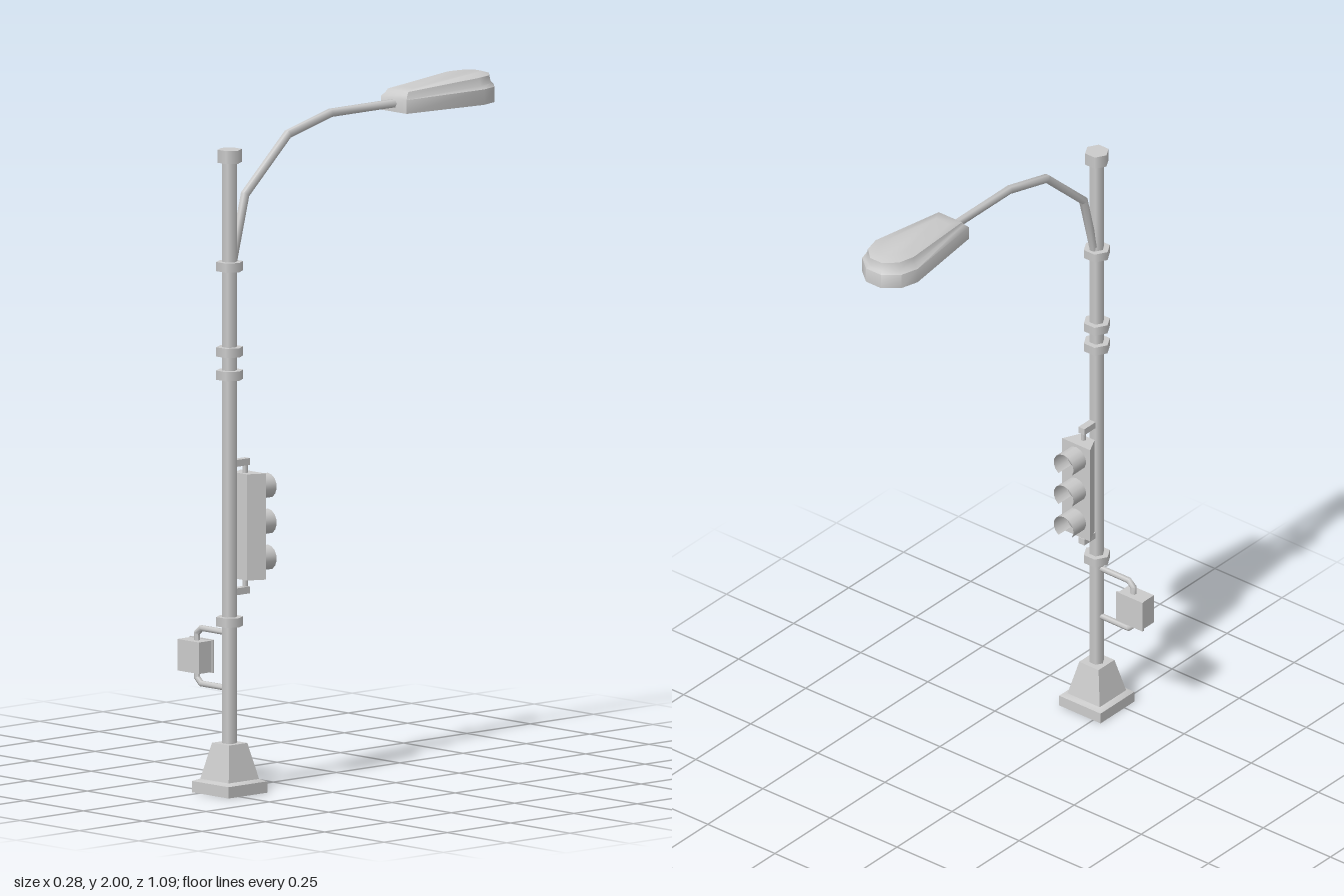
import * as THREE from 'three';
import { toCreasedNormals } from 'three/addons/utils/BufferGeometryUtils.js';

const PX = 0.049, PZ = 0.468; // pole axis
const V = (x, y, z) => new THREE.Vector3(x, y, z);

// Skin a list of equal-length rings (counter-clockwise around the direction of travel)
function loft(rings, crease = 1.1, capStart = true, capEnd = true) {
  const n = rings[0].length, pos = [], idx = [];
  rings.forEach(r => r.forEach(p => pos.push(p.x, p.y, p.z)));
  for (let k = 0; k < rings.length - 1; k++) {
    for (let i = 0; i < n; i++) {
      const a = k * n + i, b = k * n + (i + 1) % n;
      idx.push(a, b, b + n, a, b + n, a + n);
    }
  }
  const last = (rings.length - 1) * n;
  for (let i = 1; i < n - 1; i++) {
    if (capStart) idx.push(0, i + 1, i);
    if (capEnd) idx.push(last, last + i, last + i + 1);
  }
  const g = new THREE.BufferGeometry();
  g.setAttribute('position', new THREE.Float32BufferAttribute(pos, 3));
  g.setIndex(idx);
  return toCreasedNormals(g.toNonIndexed(), crease);
}

// Mitred tube along a planar path; u is the normal of its plane
function pipe(points, radius, u, sides = 6) {
  const dir = i => points[i + 1].clone().sub(points[i]).normalize();
  return loft(points.map((p, i) => {
    const a = dir(Math.max(i - 1, 0)), b = dir(Math.min(i, points.length - 2));
    const t = a.clone().add(b).normalize();
    const v = t.clone().cross(u).multiplyScalar(1 / t.dot(a));
    return Array.from({ length: sides }, (_, k) => {
      const w = (k / sides) * Math.PI * 2;
      return p.clone().addScaledVector(u, radius * Math.cos(w)).addScaledVector(v, radius * Math.sin(w));
    });
  }));
}

export function createModel() {
  const model = new THREE.Group();
  const grey = new THREE.MeshStandardMaterial({ color: 0xcccccc });
  const thin = new THREE.MeshStandardMaterial({ color: 0xcccccc, side: THREE.DoubleSide });
  const add = (name, geo, x = 0, y = 0, z = 0, mat = grey) => {
    const m = new THREE.Mesh(geo, mat);
    m.name = name;
    m.position.set(x, y, z);
    model.add(m);
    return m;
  };
  const hex = (r, h) => new THREE.CylinderGeometry(r, r, h, 6, 1, false, Math.PI / 6);

  // Square base, open underneath
  const square = (h, y) => [V(h, y, h), V(h, y, -h), V(-h, y, -h), V(-h, y, h)];
  add('base', loft([square(0.077, 0), square(0.077, 0.033), square(0.06, 0.04), square(0.036, 0.145)],
    0.6, false), PX, 0, PZ, thin);

  // Hexagonal pole with collars and cap
  add('pole', hex(0.022, 1.72), PX, 1.0, PZ);
  for (const y of [0.5, 1.22, 1.288, 1.537]) add('collar', hex(0.04, 0.027), PX, y, PZ);
  add('poleCap', hex(0.036, 0.038), PX, 1.859, PZ);

  // Curved arm reaching to the lamp
  add('lampArm', pipe([V(PX, 1.545, 0.457), V(PX, 1.74, 0.407), V(PX, 1.897, 0.238), V(PX, 1.94, 0.07),
    V(PX, 1.94, -0.2)], 0.013, V(1, 0, 0)));

  // Lamp head: recessed underside, rim band, then an inset dome
  const half = [[0.054, -0.18], [0.089, -0.455], [0.073, -0.51], [0.028, -0.547]];
  const outline = [...half, ...half.slice().reverse().map(([x, z]) => [-x, z])];
  const lampRing = (sx, inset, yNear, yFar) => outline.map(([x, z]) => {
    const zz = -0.4 + (z + 0.4) * (1 - inset);
    const t = Math.min(1, (-0.18 - z) / 0.27);
    return V(PX + x * sx, yNear + (yFar - yNear) * t, zz);
  });
  add('lampHead', loft([
    lampRing(0.8, 0.12, 1.93, 1.93),
    lampRing(0.9, 0.06, 1.915, 1.915),
    lampRing(1, 0, 1.915, 1.915),
    lampRing(1, 0, 1.955, 1.96),
    lampRing(0.85, 0.05, 1.967, 1.969),
    lampRing(0.8, 0.08, 1.976, 1.992),
    lampRing(0.45, 0.25, 1.98, 2.0)
  ], 0.9));

  // Traffic signal housing, narrower toward the pole
  const housing = y => [V(0.027, y, 0.425), V(0.052, y, 0.374), V(-0.052, y, 0.374), V(-0.027, y, 0.425)];
  add('signalHousing', loft([housing(0.617), housing(0.927)], 0.5), PX);

  // Lenses and hoods, each hood open at the bottom
  for (const y of [0.67, 0.775, 0.88]) {
    const gap = 0.55;
    const hood = new THREE.CylinderGeometry(0.037, 0.037, 0.058, 12, 1, true, gap, Math.PI * 2 - gap * 2);
    hood.rotateX(-Math.PI / 2); // axis along z, gap turned down or up
    hood.computeBoundingBox();
    if (hood.boundingBox.max.y < 0.036) hood.rotateZ(Math.PI);
    add('signalHood', hood, PX, y, 0.346, thin);
    const lens = new THREE.SphereGeometry(0.034, 12, 4, 0, Math.PI * 2, 0, Math.PI / 2);
    lens.scale(1, 0.35, 1).rotateX(-Math.PI / 2);
    add('signalLens', lens, PX, y, 0.375);
  }

  // Brackets holding the signal on the pole
  for (const [y, dy] of [[0.96, -0.025], [0.585, 0.025]]) {
    add('signalBracket', new THREE.BoxGeometry(0.022, 0.02, 0.06), PX, y, 0.428);
    add('bracketPin', hex(0.008, 0.05), PX, y + dy, 0.407);
  }

  // Small control box hung between two bent pipes
  add('sideBox', new THREE.BoxGeometry(0.09, 0.092, 0.054), -0.095, 0.383, 0.47);
  add('sideBoxPlate', new THREE.BoxGeometry(0.098, 0.097, 0.006), -0.095, 0.383, 0.443);
  for (const s of [1, -1]) {
    const y = d => 0.385 + s * d;
    add('sideBoxPipe', pipe([V(PX, y(0.081), PZ), V(-0.07, y(0.081), PZ), V(-0.088, y(0.065), PZ),
      V(-0.088, y(0.03), PZ)], 0.009, V(0, 0, 1)));
  }
  return model;
}
